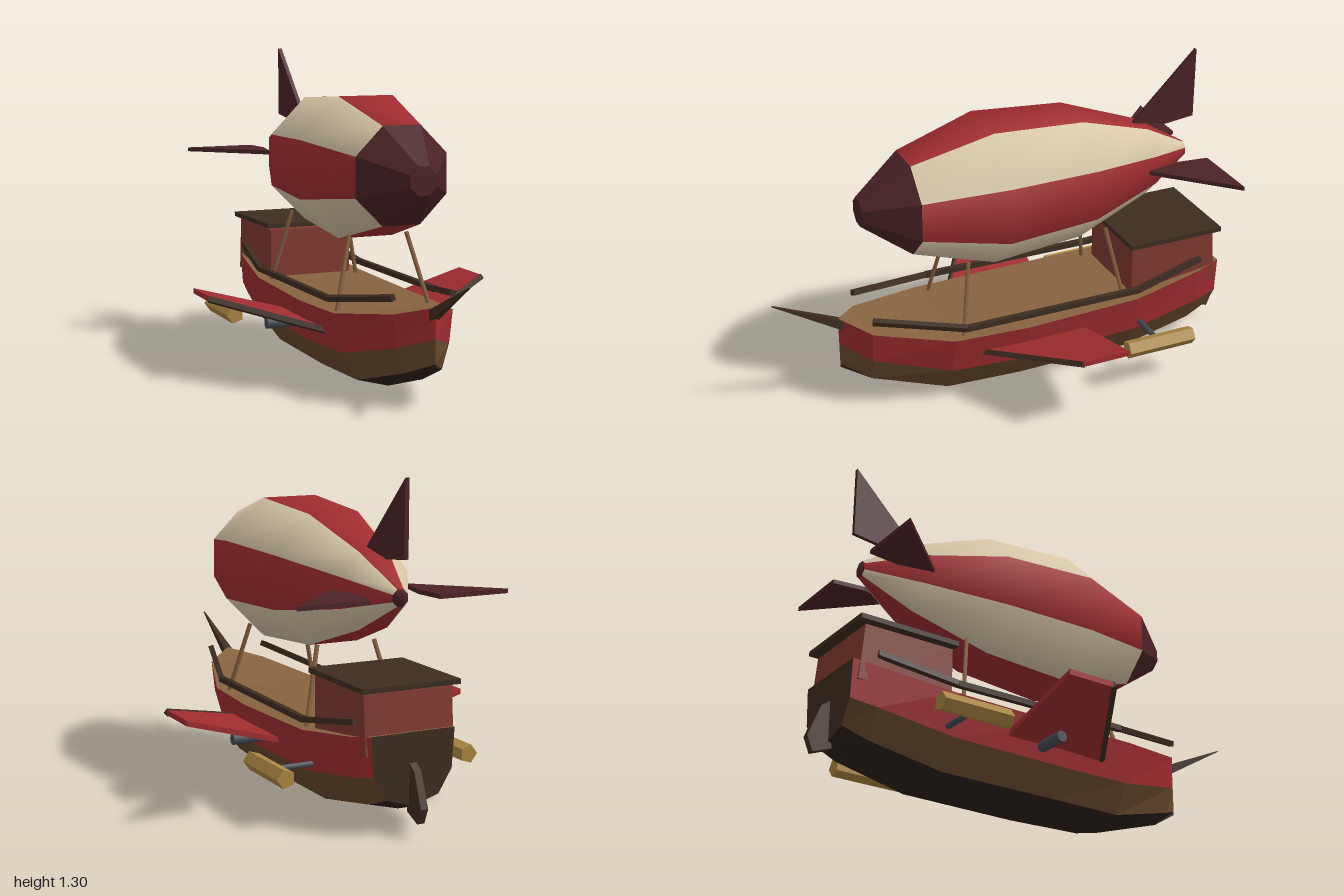
import * as THREE from 'three';

const mat = (name, color) => Object.assign(new THREE.MeshStandardMaterial({ color }), { name });

export function createModel() {
  const red = mat('red', 0xa02c2f);
  const cream = mat('cream', 0xd8c8a8);
  const maroon = mat('maroon', 0x4a2225);
  const cabinRed = mat('cabin red', 0x80392f);
  const tan = mat('deck tan', 0x87623f);
  const brown = mat('hull brown', 0x65482c);
  const keelDark = mat('keel dark', 0x2a2018);
  const darkWood = mat('dark wood', 0x3c2c20);
  const gold = mat('gold', 0xaa8640);
  const steel = mat('steel', 0x434a52);

  const model = new THREE.Group();
  model.name = 'airship';
  const add = (name, geometry, material, parent = model) => {
    const mesh = new THREE.Mesh(geometry, material);
    mesh.name = name;
    parent.add(mesh);
    return mesh;
  };

  // Skin closed rings (ordered front to back); one material group per lengthwise strip
  function loft(rings, strips, { front = -1, back = -1, smooth = false } = {}) {
    const n = rings[0].length, index = [];
    const g = new THREE.BufferGeometry();
    g.setAttribute('position', new THREE.Float32BufferAttribute(rings.flat(2), 3));
    const group = (material, build) => {
      const start = index.length;
      build();
      g.addGroup(start, index.length - start, material);
    };
    for (let j = 0; j < n; j++) group(strips[j], () => {
      for (let i = 0; i < rings.length - 1; i++) {
        const a = i * n + j, c = i * n + (j + 1) % n;
        index.push(a, c, a + n, c, c + n, a + n);
      }
    });
    const last = (rings.length - 1) * n;
    if (front >= 0) group(front, () => {
      for (let j = 1; j < n - 1; j++) index.push(0, j + 1, j);
    });
    if (back >= 0) group(back, () => {
      for (let j = 1; j < n - 1; j++) index.push(last, last + j, last + j + 1);
    });
    g.setIndex(index);
    const out = smooth ? g : g.toNonIndexed();
    out.computeVertexNormals();
    return out;
  }

  // Straight bar between two points
  function bar(name, a, b, r0, r1, sides, material, parent) {
    const from = new THREE.Vector3(...a), to = new THREE.Vector3(...b);
    const dir = to.clone().sub(from);
    const g = new THREE.CylinderGeometry(r1, r0, dir.length(), sides);
    if (sides === 4) g.rotateY(Math.PI / 4);
    const flat = sides < 6 ? g.toNonIndexed() : g;
    if (sides < 6) flat.computeVertexNormals();
    const mesh = add(name, flat, material, parent);
    mesh.quaternion.setFromUnitVectors(new THREE.Vector3(0, 1, 0), dir.normalize());
    mesh.position.copy(from).add(to).multiplyScalar(0.5);
    return mesh;
  }

  const plate = (points, depth) => new THREE.ExtrudeGeometry(
    new THREE.Shape(points.map(p => new THREE.Vector2(...p))),
    { depth, bevelEnabled: false }).translate(0, 0, -depth / 2);

  // Hull sections: z, sheer x y, paint line x y, keel line x y, bottom y
  const hull = [
    [0.735, 0, 0.405, 0, 0.285, 0, 0.19, 0.175],
    [0.63, 0.125, 0.37, 0.11, 0.24, 0.08, 0.14, 0.11],
    [0.32, 0.235, 0.325, 0.2, 0.165, 0.135, 0.05, 0.013],
    [0, 0.25, 0.32, 0.215, 0.155, 0.148, 0.045, 0.005],
    [-0.5, 0.242, 0.33, 0.21, 0.165, 0.142, 0.046, 0.01],
    [-0.81, 0.2, 0.37, 0.185, 0.215, 0.125, 0.105, 0.073],
    [-0.915, 0.175, 0.39, 0.165, 0.235, 0.11, 0.145, 0.11],
  ].map(([z, sx, sy, lx, ly, kx, ky, by]) => [
    [sx, sy, z], [lx, ly, z], [kx, ky, z], [0, by, z],
    [-kx, ky, z], [-lx, ly, z], [-sx, sy, z]]);
  add('hull', loft(hull, [0, 1, 2, 2, 1, 0, 3], { back: 4 }),
    [red, brown, keelDark, tan, darkWood]);

  // Bowsprit and rudder
  bar('bowsprit', [0, 0.355, 0.68], [0, 0.525, 1], 0.03, 0.003, 4, darkWood);
  add('rudder', plate([[0.9, 0.285], [0.9, 0.09], [0.975, 0.06], [1, 0.12], [0.95, 0.25]], 0.03)
    .rotateY(Math.PI / 2), darkWood);

  // Cabin, with a rear wall that leans forward
  const cabin = new THREE.BoxGeometry(0.37, 0.225, 0.4).translate(0, 0.4225, -0.695);
  const cp = cabin.attributes.position;
  for (let i = 0; i < cp.count; i++) {
    if (cp.getY(i) > 0.5 && cp.getZ(i) < -0.8) cp.setZ(i, -0.875);
  }
  cabin.computeVertexNormals();
  add('cabin', cabin, cabinRed);
  add('cabinRoof', new THREE.BoxGeometry(0.41, 0.02, 0.425).translate(0, 0.555, -0.692), darkWood);

  // Balloon: octagonal rings from distance-to-face radii
  const balloonY = 0.865;
  const ring = ([z, apothem]) => Array.from({ length: 8 }, (_, j) => {
    const a = Math.PI / 8 - j * Math.PI / 4, r = apothem / Math.cos(Math.PI / 8);
    return [r * Math.cos(a), balloonY + r * Math.sin(a), z];
  });
  const envelope = [[0.435, 0.193], [0.1, 0.285], [-0.29, 0.257], [-0.61, 0.147], [-0.81, 0.032]];
  add('balloon', loft(envelope.map(ring), [0, 1, 0, 1, 0, 1, 0, 1], { back: 2, smooth: true }),
    [red, cream, maroon]);
  add('balloonNose', loft([[0.63, 0.055], [0.435, 0.193]].map(ring), Array(8).fill(0), { front: 0 }),
    [maroon]);

  // Tail fins: left, top, right
  for (const [name, turn] of [['leftFin', 0], ['topFin', 1], ['rightFin', 2]]) {
    const fin = add(name, plate([[0.16, 0.57], [0.44, 0.85], [0.145, 0.85], [0.13, 0.72]], 0.017)
      .rotateX(-Math.PI / 2), maroon);
    fin.rotation.z = turn * Math.PI / 2;
    fin.position.y = balloonY;
  }
  model.traverse(o => {
    // plates were drawn with the tail along +y, which the turn above maps to -z
    if (o.name.endsWith('Fin')) o.position.z = 0;
  });

  for (const s of [1, -1]) {
    const side = new THREE.Group();
    side.name = s > 0 ? 'leftSide' : 'rightSide';
    model.add(side);

    // Handrail following the deck edge
    const rail = [[0.125, 0.432, 0.63], [0.235, 0.375, 0.27], [0.235, 0.37, -0.5], [0.19, 0.425, -0.82]];
    for (let i = 0; i < 3; i++) {
      const [a, b] = [rail[i], rail[i + 1]].map(([x, y, z]) => [s * x, y, z]);
      bar('handrail', a, b, 0.016, 0.016, 4, darkWood, side);
    }

    // Struts carrying the balloon
    bar('frontStrut', [s * 0.2, 0.32, 0.272], [s * 0.125, 0.61, 0.218], 0.009, 0.009, 6, tan, side);
    bar('rearStrut', [s * 0.2, 0.32, -0.452], [s * 0.125, 0.63, -0.395], 0.009, 0.009, 6, tan, side);

    // Wing rising outwards, with a dark leading spar
    const wing = plate([[0.19, 0.26], [0.615, 0.26], [0.615, 0.06], [0.19, -0.2]]
      .map(([x, y]) => [s * x, y]), 0.022).rotateX(-Math.PI / 2);
    const wp = wing.attributes.position;
    const rise = x => 0.225 + 0.282 * (Math.abs(x) - 0.2);
    for (let i = 0; i < wp.count; i++) wp.setY(i, wp.getY(i) + rise(wp.getX(i)));
    wing.computeVertexNormals();
    add('wing', wing, red, side);
    bar('wingSpar', [s * 0.19, rise(0.19), 0.2], [s * 0.615, rise(0.615), -0.06],
      0.016, 0.016, 4, darkWood, side);

    // Side tube under the wing, and the axle with its float
    bar('sideTube', [s * 0.18, 0.213, -0.105], [s * 0.355, 0.213, -0.105], 0.023, 0.023, 8, steel, side);
    bar('axle', [s * 0.18, 0.2, -0.525], [s * 0.38, 0.2, -0.525], 0.012, 0.012, 8, steel, side);
    const float = new THREE.CylinderGeometry(0.038, 0.038, 0.3, 5).rotateX(Math.PI / 2)
      .rotateZ(-s * Math.PI / 2).toNonIndexed();
    // Point one edge of the five-sided float outwards
    const fp = float.attributes.position;
    let reach = 0;
    for (let i = 0; i < fp.count; i++) reach = Math.max(reach, s * fp.getX(i));
    if (reach < 0.037) float.rotateZ(Math.PI);
    float.computeVertexNormals();
    add('float', float.translate(s * 0.394, 0.2, -0.523), gold, side);
  }
  return model;
}
